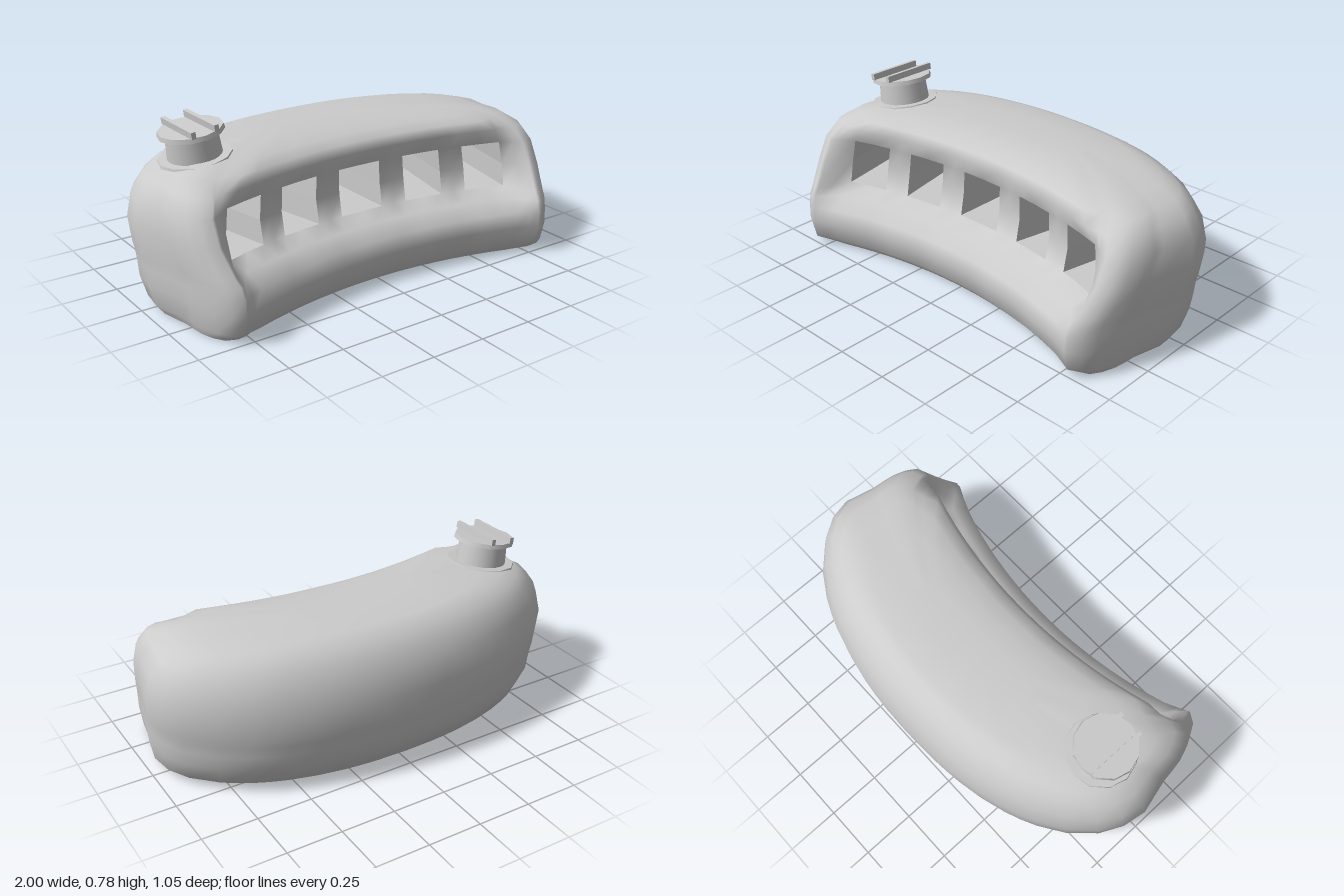
import * as THREE from 'three';

const material = new THREE.MeshStandardMaterial({ color: 0xcccccc, side: THREE.DoubleSide });
const ZC = 2.55; // centre of the bend, in front of the body

// Height, front depth at middle, front depth at ends, back depth, half angle (degrees)
const LEVELS = [
  [0, 0.31, 0.30, -0.38, 20.7],
  [0.04, 0.345, 0.356, -0.46, 21.2],
  [0.13, 0.37, 0.373, -0.505, 21.5],
  [0.20, 0.355, 0.368, -0.515, 21.5],
  [0.25, 0.28, 0.352, -0.522, 21.5],
  [0.28, 0.19, 0.324, -0.526, 21.5],
  [0.385, 0.17, 0.25, -0.53, 21.4],
  [0.49, 0.165, 0.2, -0.50, 20.9],
  [0.56, 0.192, 0.16, -0.46, 19.8],
  [0.60, 0.165, 0.09, -0.42, 18.2],
  [0.625, 0.11, 0.06, -0.38, 16],
  [0.64, 0.04, 0.0, -0.34, 12.5],
  [0.65, -0.05, -0.07, -0.22, 7.5],
];
const HALF = [0.125, 0.2, 0.27, 0.38, 0.49, 0.56, 0.63, 0.74, 0.855, 0.93, 0.98, 1];
const COLS = [...HALF.map((u) => -u).reverse(), 0, ...HALF];
const WINDOWS = [[-0.855, -0.63], [-0.49, -0.27], [-0.125, 0.125], [0.27, 0.49], [0.63, 0.855]];
const WIN_BOTTOM = 5, WIN_TOP = 7;
// Rounded ends: fraction from front corner to shoulder, extra angle in degrees
const END = [[0.14, 0.9], [0.35, 1.15], [0.6, 1.05], [0.8, 0.75]];

function polar(r, degrees, y) {
  const t = THREE.MathUtils.degToRad(degrees);
  return new THREE.Vector3(r * Math.sin(t), y, ZC - r * Math.cos(t));
}

// Radius where the end rounding meets the back
const shoulderOf = ([, , end, rear]) => THREE.MathUtils.lerp(ZC - end, ZC - rear, 0.37);

function frontPoint(row, u) {
  const [y, mid, end, , half] = LEVELS[row];
  const blend = THREE.MathUtils.smoothstep(Math.abs(u), 0.84, 1);
  return polar(ZC - THREE.MathUtils.lerp(mid, end, blend), u * half, y);
}

function backPoint(row, u) {
  const [y, , , rear, half] = LEVELS[row];
  const shoulder = shoulderOf(LEVELS[row]), a = Math.abs(u);
  const r = shoulder + (ZC - rear - shoulder) * Math.pow(1 - a ** 2.8, 0.38);
  return polar(r, u * (half + 0.4 * a ** 4), y);
}

function endPoint(row, [f, bulge], side) {
  const [y, , end, , half] = LEVELS[row];
  const r = THREE.MathUtils.lerp(ZC - end, shoulderOf(LEVELS[row]), f);
  return polar(r, side * (half + bulge), y);
}

function meshFrom(name, points, index, flat) {
  let geo = new THREE.BufferGeometry().setFromPoints(points);
  geo.setIndex(index);
  if (flat) geo = geo.toNonIndexed();
  geo.computeVertexNormals();
  const mesh = new THREE.Mesh(geo, material);
  mesh.name = name;
  return mesh;
}

// Hollow shell, open below, with the window cells left out
function makeShell() {
  const points = [], index = [], K = COLS.length, E = END.length, ring = 2 * (K + E);
  const quad = (a, b, c, d) => index.push(a, b, c, a, c, d);
  LEVELS.forEach((_, row) => points.push(
    ...COLS.map((u) => frontPoint(row, u)),
    ...END.map((e) => endPoint(row, e, 1)),
    ...[...COLS].reverse().map((u) => backPoint(row, u)),
    ...[...END].reverse().map((e) => endPoint(row, e, -1)),
  ));
  for (let row = 0; row < LEVELS.length - 1; row++) {
    for (let j = 0; j < ring; j++) {
      const mid = j < K - 1 ? (COLS[j] + COLS[j + 1]) / 2 : 9;
      const open = row >= WIN_BOTTOM && row < WIN_TOP && WINDOWS.some(([a, b]) => mid > a && mid < b);
      if (open) continue;
      const k = (j + 1) % ring, o = row * ring;
      quad(o + j, o + k, o + ring + k, o + ring + j);
    }
  }
  // Roof closing the last ring, strip by strip from one end to the other
  const o = (LEVELS.length - 1) * ring;
  const at = (i) => o + (i + ring) % ring;
  for (let j = -E; j < K + E - 1; j++) {
    const across = 2 * K + E - 1 - j;
    quad(at(j), at(j + 1), at(across - 1), at(across));
  }
  return meshFrom('shell', points, index, false);
}

// Deep window recess: side walls swept inward from the opening, closed by a back plate
function makeRecess([u0, u1]) {
  const cols = COLS.filter((u) => u >= u0 && u <= u1);
  const rim = [
    ...cols.map((u) => frontPoint(WIN_BOTTOM, u)),
    frontPoint(WIN_BOTTOM + 1, u1),
    ...[...cols].reverse().map((u) => frontPoint(WIN_TOP, u)),
    frontPoint(WIN_BOTTOM + 1, u0),
  ];
  const n = rim.length, index = [];
  const push = new THREE.Vector3(Math.sign(u0 + u1) * 0.105, 0, -0.5);
  const inner = rim.map((p) => p.clone().add(push));
  const centre = new THREE.Vector3();
  inner.forEach((p) => centre.addScaledVector(p, 1 / n));
  for (let i = 0; i < n; i++) {
    const k = (i + 1) % n;
    index.push(i, n + i, n + k, i, n + k, k); // wall
    index.push(n + i, n + k, 2 * n); // back plate
  }
  return meshFrom('windowRecess', [...rim, ...inner, centre], index, true);
}

// Tilted vent with flange, neck, lid and two bars
function makeVent() {
  const vent = new THREE.Group();
  vent.name = 'vent';
  const add = (name, geo, x, y) => {
    const mesh = new THREE.Mesh(geo, material);
    mesh.name = name;
    mesh.position.set(x, y, 0);
    vent.add(mesh);
  };
  const disc = (top, bottom, h) => new THREE.CylinderGeometry(top, bottom, h, 12);
  add('ventFlange', disc(0.157, 0.163, 0.02), 0, 0.003);
  add('ventNeck', new THREE.CylinderGeometry(0.11, 0.118, 0.12, 24), 0, 0.06);
  add('ventLid', disc(0.138, 0.142, 0.02), 0, 0.124);
  for (const s of [-1, 1]) add('ventBar', new THREE.BoxGeometry(0.02, 0.03, 0.27), s * 0.053, 0.148);
  vent.position.set(-0.705, 0.615, -0.022);
  vent.rotation.z = 0.13;
  return vent;
}

export function createModel() {
  const model = new THREE.Group();
  model.name = 'bunker';
  model.add(makeShell(), ...WINDOWS.map(makeRecess), makeVent());
  return model;
}
